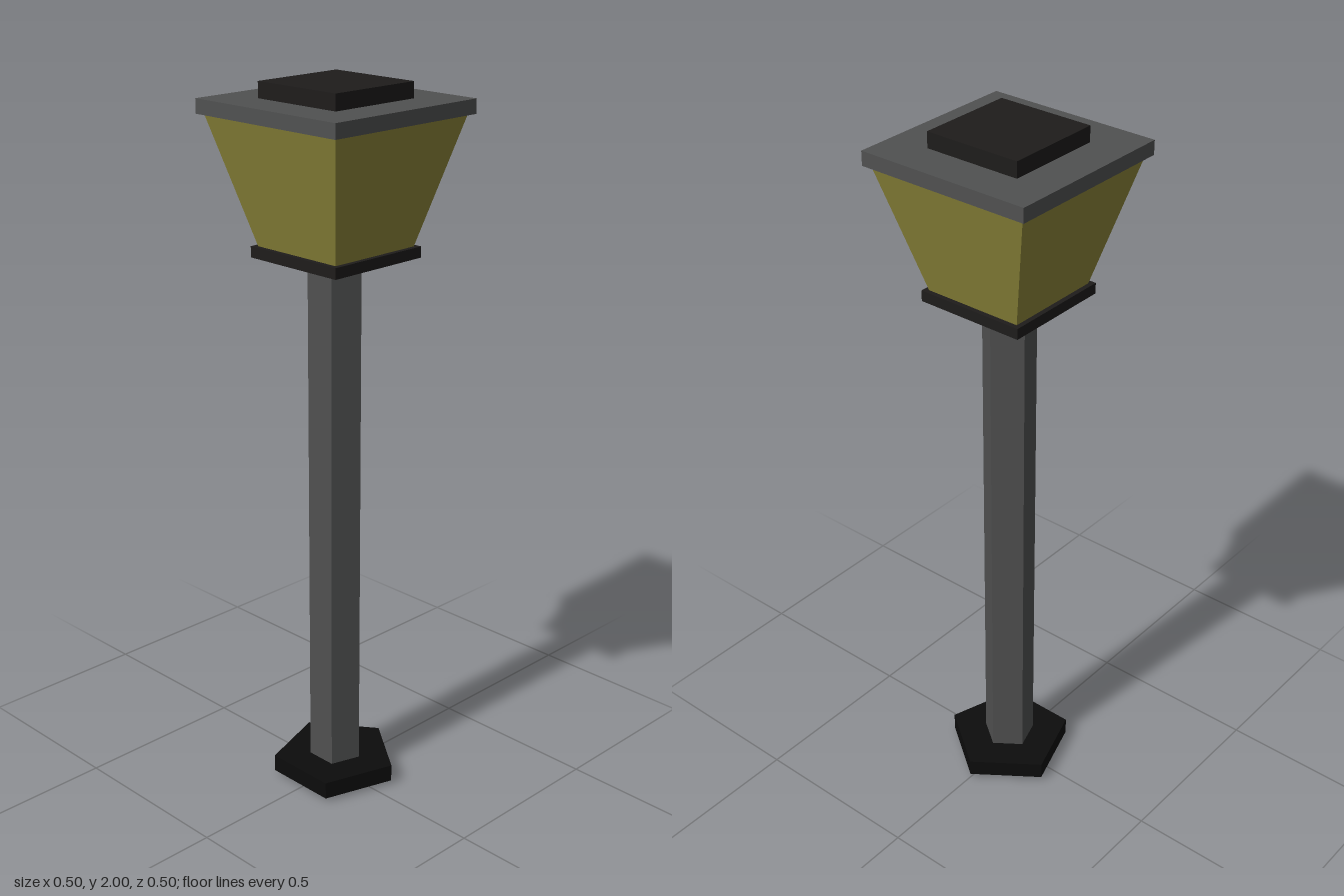
import * as THREE from 'three';

const mat = (color) => new THREE.MeshStandardMaterial({ color, flatShading: true });

export function createModel() {
  const model = new THREE.Group();
  const iron = mat(0x505151);
  const black = mat(0x1e1c1b);
  const darkest = mat(0x0c0c0c);
  const glass = mat(0x8e873a);

  function add(name, geometry, material, bottom, top) {
    const mesh = new THREE.Mesh(geometry, material);
    mesh.name = name;
    mesh.position.y = (bottom + top) / 2;
    model.add(mesh);
  }

  // Five-sided prism with a corner at the back and a flat at the front
  function pentagon(name, radius, bottom, top, material) {
    const geometry = new THREE.CylinderGeometry(radius, radius, top - bottom, 5).rotateY(Math.PI);
    add(name, geometry, material, bottom, top);
  }

  // Square block, given half widths at top and bottom
  function square(name, halfTop, halfBottom, bottom, top, material) {
    const geometry = new THREE.CylinderGeometry(
      halfTop * Math.SQRT2, halfBottom * Math.SQRT2, top - bottom, 4
    ).rotateY(Math.PI / 4);
    add(name, geometry, material, bottom, top);
  }

  pentagon('base', 0.18, 0.012, 0.062, darkest);
  pentagon('post', 0.075, 0, 1.55, iron);

  square('collar', 0.157, 0.157, 1.545, 1.575, black);
  square('lantern', 0.238, 0.142, 1.57, 1.925, glass);
  square('roof', 0.251, 0.251, 1.918, 1.957, iron);
  square('cap', 0.139, 0.139, 1.955, 2, black);

  return model;
}
